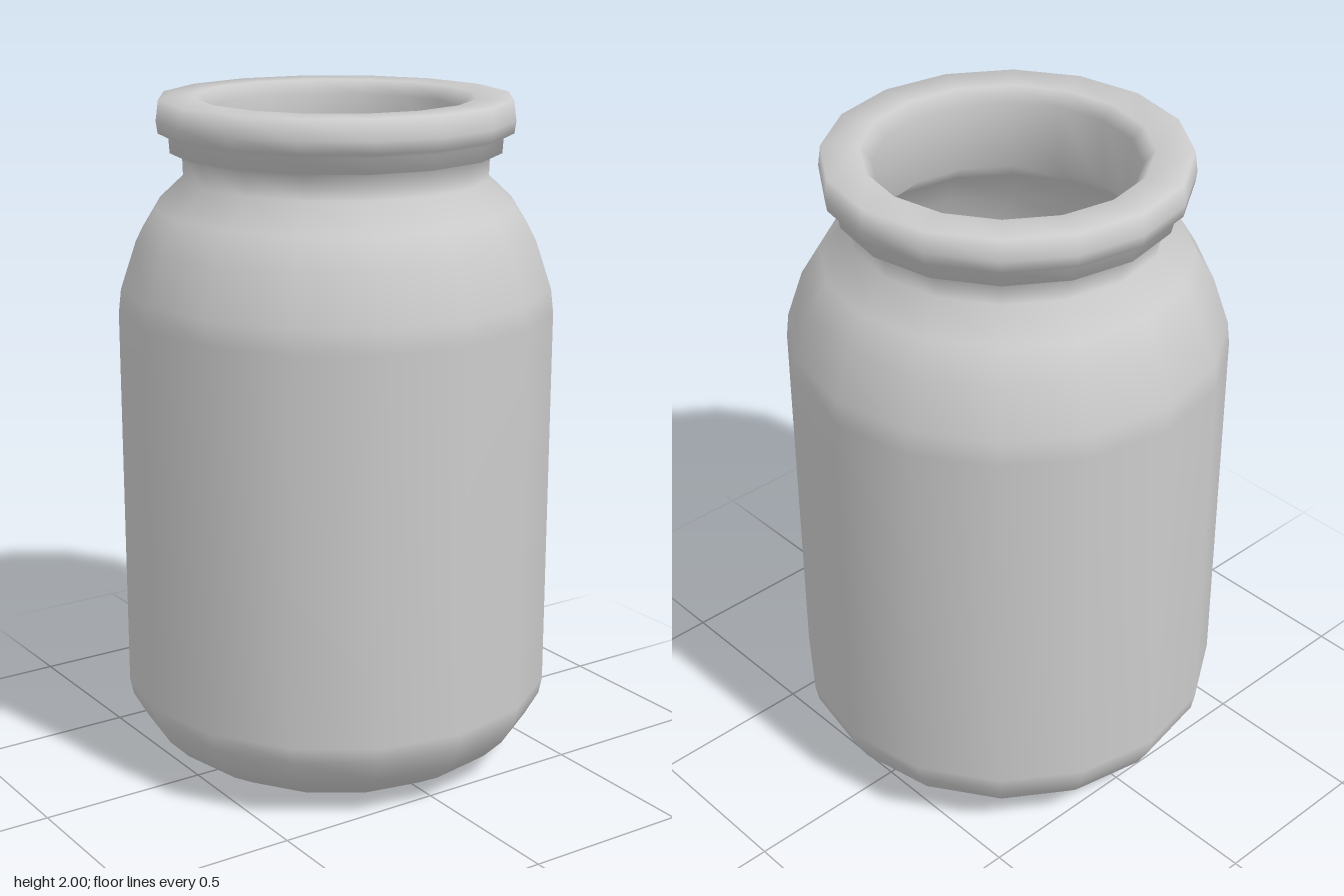
import * as THREE from 'three';

const SIDES = 16;

// Turns [radius, height] pairs into a smooth-shaded ring of faces
function turned(name, profile, material) {
  const points = profile.map(([r, y]) => new THREE.Vector2(r, y));
  const mesh = new THREE.Mesh(new THREE.LatheGeometry(points, SIDES), material);
  mesh.name = name;
  return mesh;
}

export function createModel() {
  const glass = new THREE.MeshStandardMaterial({ color: 0xcccccc, side: THREE.DoubleSide });

  const jar = new THREE.Group();
  jar.name = 'jar';

  // Closed wall: dimpled base, body, shoulder, stepped collar, rim, then the inside back down
  jar.add(turned('jarWall', [
    // base with shallow push-up
    [0, 0.04], [0.15, 0.036], [0.27, 0.022], [0.34, 0.003], [0.38, 0],
    // rounded foot
    [0.44, 0.018], [0.53, 0.07], [0.59, 0.13], [0.63, 0.2], [0.64, 0.25],
    // body and shoulder
    [0.64, 1.39], [0.632, 1.46], [0.585, 1.6], [0.53, 1.69], [0.445, 1.77],
    // neck and stepped collar
    [0.447, 1.84], [0.482, 1.848], [0.485, 1.89], [0.515, 1.905],
    // rim
    [0.52, 1.94], [0.512, 2], [0.405, 2], [0.372, 1.96],
    // inner neck and shoulder
    [0.37, 1.76], [0.45, 1.69], [0.52, 1.58], [0.57, 1.45], [0.58, 1.39],
    // inner body and floor
    [0.58, 0.26], [0.54, 0.17], [0.47, 0.11], [0.36, 0.08], [0.2, 0.09], [0, 0.1],
  ], glass));

  return jar;
}
